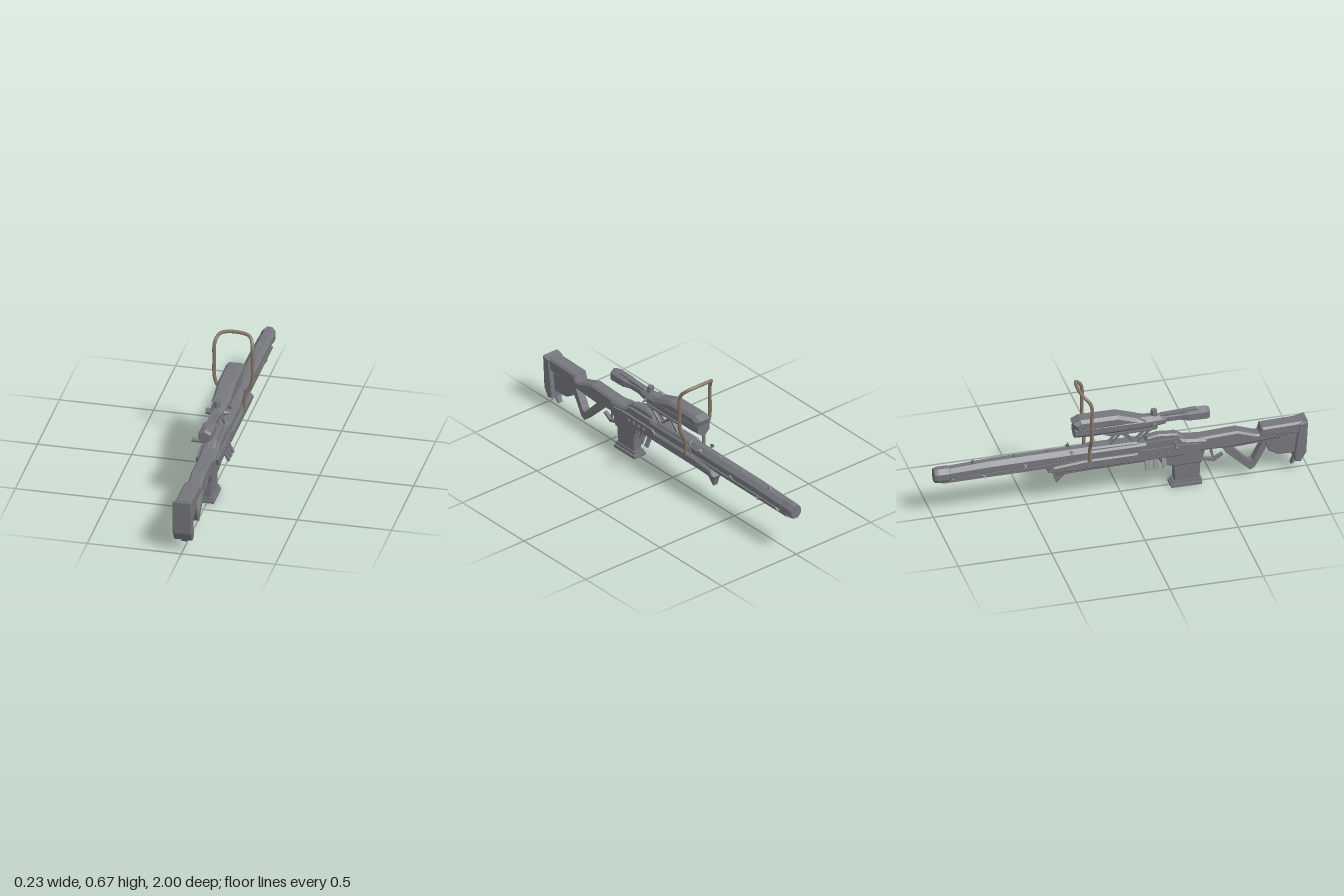
import * as THREE from 'three';

const gunmetal = new THREE.MeshStandardMaterial({ color: 0x75767c, flatShading: true });
gunmetal.name = 'gunmetal';
const tan = new THREE.MeshStandardMaterial({ color: 0x857766 });
tan.name = 'tan';

export function createModel() {
  const model = new THREE.Group();
  model.name = 'rifle';

  const add = (name, geometry, material = gunmetal) => {
    const mesh = new THREE.Mesh(geometry, material);
    mesh.name = name;
    model.add(mesh);
    return mesh;
  };

  // Side profile of [z, y] points, given a width across x and a chamfer
  const slab = (name, points, width, { x = 0, bevel = 0, hole = null } = {}) => {
    const shape = new THREE.Shape(points.map(([z, y]) => new THREE.Vector2(z, y)));
    if (hole) shape.holes.push(new THREE.Path(hole.map(([z, y]) => new THREE.Vector2(z, y))));
    const depth = width - 2 * bevel;
    const g = new THREE.ExtrudeGeometry(shape, {
      depth, bevelEnabled: bevel > 0, bevelSize: bevel, bevelThickness: bevel,
      bevelOffset: -bevel, bevelSegments: 1,
    });
    g.translate(0, 0, -depth / 2).rotateY(-Math.PI / 2).translate(x, 0, 0);
    return add(name, g);
  };

  const box = (name, w, h, d, x, y, z) => add(name, new THREE.BoxGeometry(w, h, d).translate(x, y, z));

  // Faceted tube along z, with [z, radiusX, radiusY, centreY] stations
  const loft = (name, stations, sides = 8) => {
    const pos = [], index = [];
    for (const [z, rx, ry, cy] of stations) {
      for (let i = 0; i < sides; i++) {
        const a = ((i + 0.5) / sides) * Math.PI * 2, k = 1 / Math.cos(Math.PI / sides);
        pos.push(Math.cos(a) * rx * k, cy + Math.sin(a) * ry * k, z);
      }
    }
    const last = stations.length - 1;
    for (let s = 0; s < last; s++) {
      for (let i = 0; i < sides; i++) {
        const a = s * sides + i, b = s * sides + ((i + 1) % sides), c = a + sides, d = b + sides;
        index.push(a, c, b, b, c, d);
      }
    }
    for (let i = 1; i < sides - 1; i++) {
      index.push(0, i, i + 1);
      index.push(last * sides, last * sides + i + 1, last * sides + i);
    }
    const g = new THREE.BufferGeometry();
    g.setAttribute('position', new THREE.Float32BufferAttribute(pos, 3));
    g.setIndex(index);
    // Stations run from back (+z) to muzzle (-z)
    const flat = g.toNonIndexed();
    flat.computeVertexNormals();
    return add(name, flat);
  };

  // Stock
  slab('buttPlate', [[0.995, 0.295], [0.95, 0.285], [0.925, 0.1], [0.925, 0.065], [0.955, 0.06], [0.985, 0.11]], 0.1, { bevel: 0.004 });
  slab('buttToe', [[0.96, 0.1], [0.94, 0.1], [0.91, 0.03], [0.925, 0.035]], 0.03);
  slab('cheekRest', [[0.97, 0.292], [0.75, 0.287], [0.735, 0.235], [0.97, 0.225]], 0.084, { bevel: 0.01 });
  slab('stockBeam', [[0.96, 0.25], [0.72, 0.25], [0.62, 0.285], [0.4, 0.275], [0.4, 0.2], [0.55, 0.195], [0.75, 0.205], [0.96, 0.215]], 0.075, { bevel: 0.01 });
  slab('stockKeel', [[0.95, 0.215], [0.76, 0.21], [0.79, 0.135], [0.84, 0.105], [0.94, 0.1]], 0.05, { bevel: 0.006 });
  slab('gripFrame', [[0.81, 0.215], [0.53, 0.21], [0.56, 0.16], [0.69, 0.035], [0.715, 0.05]], 0.045,
    { hole: [[0.76, 0.195], [0.705, 0.09], [0.685, 0.085], [0.59, 0.185]] });

  // Trigger and its thin guard
  slab('triggerGuard', [[0.42, 0.13], [0.42, 0.14], [0.5, 0.125], [0.545, 0.15], [0.55, 0.14], [0.5, 0.108]], 0.02);
  slab('trigger', [[0.49, 0.2], [0.47, 0.2], [0.49, 0.135], [0.5, 0.135]], 0.01);

  // Magazine and well
  slab('magazineWell', [[0.45, 0.21], [0.18, 0.21], [0.22, 0.145], [0.28, 0.125], [0.43, 0.125]], 0.07, { bevel: 0.008 });
  slab('magazine', [[0.425, 0.14], [0.28, 0.14], [0.285, 0.02], [0.42, 0.02]], 0.05, { bevel: 0.006 });
  box('magazineFloor', 0.078, 0.016, 0.165, 0, 0.008, 0.347);
  box('magazineCollar', 0.062, 0.014, 0.155, 0, 0.026, 0.35);

  // Receiver and handguard
  slab('receiver', [[0.46, 0.27], [0.35, 0.28], [0.3, 0.295], [-0.18, 0.295], [-0.22, 0.25], [-0.22, 0.2], [0.45, 0.2]], 0.09, { bevel: 0.012 });
  slab('boltHousing', [[0.35, 0.28], [0.3, 0.315], [0.2, 0.325], [0.14, 0.315], [0.12, 0.28]], 0.05, { bevel: 0.008 });
  slab('frontTopCover', [[0.12, 0.28], [0.08, 0.305], [-0.17, 0.308], [-0.2, 0.28]], 0.07, { bevel: 0.008 });
  slab('handguard', [[0.35, 0.25], [-0.2, 0.25], [-0.37, 0.235], [-0.4, 0.205], [-0.3, 0.195], [0.33, 0.2]], 0.12, { bevel: 0.008 });
  slab('handguardKeel', [[0.2, 0.205], [-0.38, 0.21], [-0.34, 0.165], [-0.2, 0.17], [0.15, 0.175]], 0.06, { bevel: 0.006 });
  slab('handguardSpur', [[-0.26, 0.2], [-0.39, 0.2], [-0.36, 0.165], [-0.345, 0.115]], 0.03);
  for (const s of [-1, 1]) {
    slab('sidePanel', [[0.42, 0.255], [0.34, 0.265], [0.1, 0.262], [0.05, 0.225], [0.4, 0.215]], 0.012, { x: s * 0.054 });
    slab('receiverRail', [[0.3, 0.3], [0.13, 0.3], [0.13, 0.278], [0.32, 0.278]], 0.012, { x: s * 0.04 });
    // Angled fins below the handguard
    for (const z of [0.22, 0.175, 0.13]) {
      const fin = box('coolingFin', 0.012, 0.06, 0.024, 0, 0, 0);
      fin.position.set(s * 0.058, 0.178, z);
      fin.rotation.z = s * 0.45;
    }
    for (const z of [0.16, 0.2, 0.24, 0.28]) box('sideStud', 0.012, 0.012, 0.014, s * 0.064, 0.24, z);
  }

  // Bolt handle on the model's right
  add('boltHandle', new THREE.CylinderGeometry(0.01, 0.01, 0.075, 10).rotateZ(Math.PI / 2).translate(-0.075, 0.28, 0.28));
  add('boltKnob', new THREE.SphereGeometry(0.012, 8, 6).translate(-0.104, 0.28, 0.276));

  // Barrel, under rail and muzzle
  loft('barrel', [[-0.15, 0.04, 0.037, 0.27], [-0.7, 0.04, 0.036, 0.267], [-0.92, 0.038, 0.032, 0.26]]);
  loft('muzzle', [[-0.905, 0.03, 0.034, 0.255], [-0.925, 0.037, 0.041, 0.255], [-0.98, 0.037, 0.041, 0.255], [-1, 0.032, 0.036, 0.255]]);
  slab('underRail', [[-0.2, 0.24], [-0.93, 0.232], [-0.96, 0.208], [-0.2, 0.212]], 0.045, { bevel: 0.005 });
  for (const s of [-1, 1]) {
    slab('barrelRail', [[-0.2, 0.25], [-0.88, 0.245], [-0.9, 0.23], [-0.2, 0.232]], 0.014, { x: s * 0.036 });
    // Jagged cleats along the barrel
    for (const [z, y] of [[-0.27, 0.3], [-0.52, 0.26], [-0.74, 0.235]]) {
      const cleat = add('barrelCleat', new THREE.TetrahedronGeometry(0.017));
      cleat.position.set(s * 0.041, y, z);
      cleat.rotation.set(0.4, s * 0.7, 0);
    }
  }
  for (const z of [-0.4, -0.58, -0.8]) slab('barrelRidge', [[z, 0.295], [z + 0.03, 0.295], [z + 0.01, 0.312]], 0.02);

  // Scope mount
  slab('mountPlate', [[0.19, 0.37], [-0.09, 0.37], [-0.06, 0.358], [0.16, 0.358]], 0.05);
  for (const s of [-1, 1]) {
    for (const [a, b] of [[0.16, 0.08], [0.0, 0.08], [0.0, -0.07]]) {
      slab('mountStrut', [[a + 0.008, 0.365], [a - 0.008, 0.365], [b - 0.008, 0.29], [b + 0.008, 0.29]], 0.008, { x: s * 0.016 });
    }
  }

  // Scope
  loft('scopeEyepiece', [[0.475, 0.026, 0.028, 0.408], [0.46, 0.034, 0.034, 0.409], [0.36, 0.034, 0.03, 0.41], [0.32, 0.022, 0.022, 0.41], [0.12, 0.022, 0.022, 0.412]], 6);
  loft('scopeBody', [[0.24, 0.024, 0.024, 0.405], [0.16, 0.04, 0.034, 0.407], [-0.17, 0.042, 0.04, 0.41], [-0.25, 0.038, 0.036, 0.41]], 8);
  slab('scopeHood', [[0.14, 0.425], [0.08, 0.45], [-0.02, 0.483], [-0.22, 0.485], [-0.26, 0.465], [-0.245, 0.42], [-0.02, 0.42]], 0.095, { bevel: 0.016 });
  slab('scopeTopRail', [[0.46, 0.43], [0.4, 0.445], [0.22, 0.437], [0.18, 0.42], [0.44, 0.42]], 0.03);
  add('scopeTurret', new THREE.CylinderGeometry(0.017, 0.02, 0.045, 6).translate(0, 0.447, 0.18));
  add('scopeSideKnob', new THREE.CylinderGeometry(0.017, 0.017, 0.03, 6).rotateZ(Math.PI / 2).translate(-0.048, 0.4, 0.17));
  add('scopeSidePoint', new THREE.ConeGeometry(0.018, 0.035, 5).rotateZ(-Math.PI / 2).translate(0.048, 0.403, 0.17));

  // Carrying handle: mirrored half path, bent forward at the top
  const half = [[0.06, 0.245, -0.178], [0.06, 0.3, -0.178], [0.066, 0.335, -0.178], [0.094, 0.39, -0.178], [0.102, 0.435, -0.178],
    [0.102, 0.52, -0.178], [0.102, 0.595, -0.178], [0.098, 0.622, -0.187], [0.083, 0.65, -0.212], [0.05, 0.661, -0.225]];
  const path = [...half, ...half.map(([x, y, z]) => [-x, y, z]).reverse()].map((p) => new THREE.Vector3(...p));
  add('carryHandle', new THREE.TubeGeometry(new THREE.CatmullRomCurve3(path, false, 'centripetal'), 120, 0.0095, 12), tan);
  for (const s of [-1, 1]) {
    add('handleFoot', new THREE.CylinderGeometry(0.011, 0.011, 0.04, 12).rotateZ(Math.PI / 2).translate(s * 0.047, 0.247, -0.178), tan);
  }
  return model;
}
